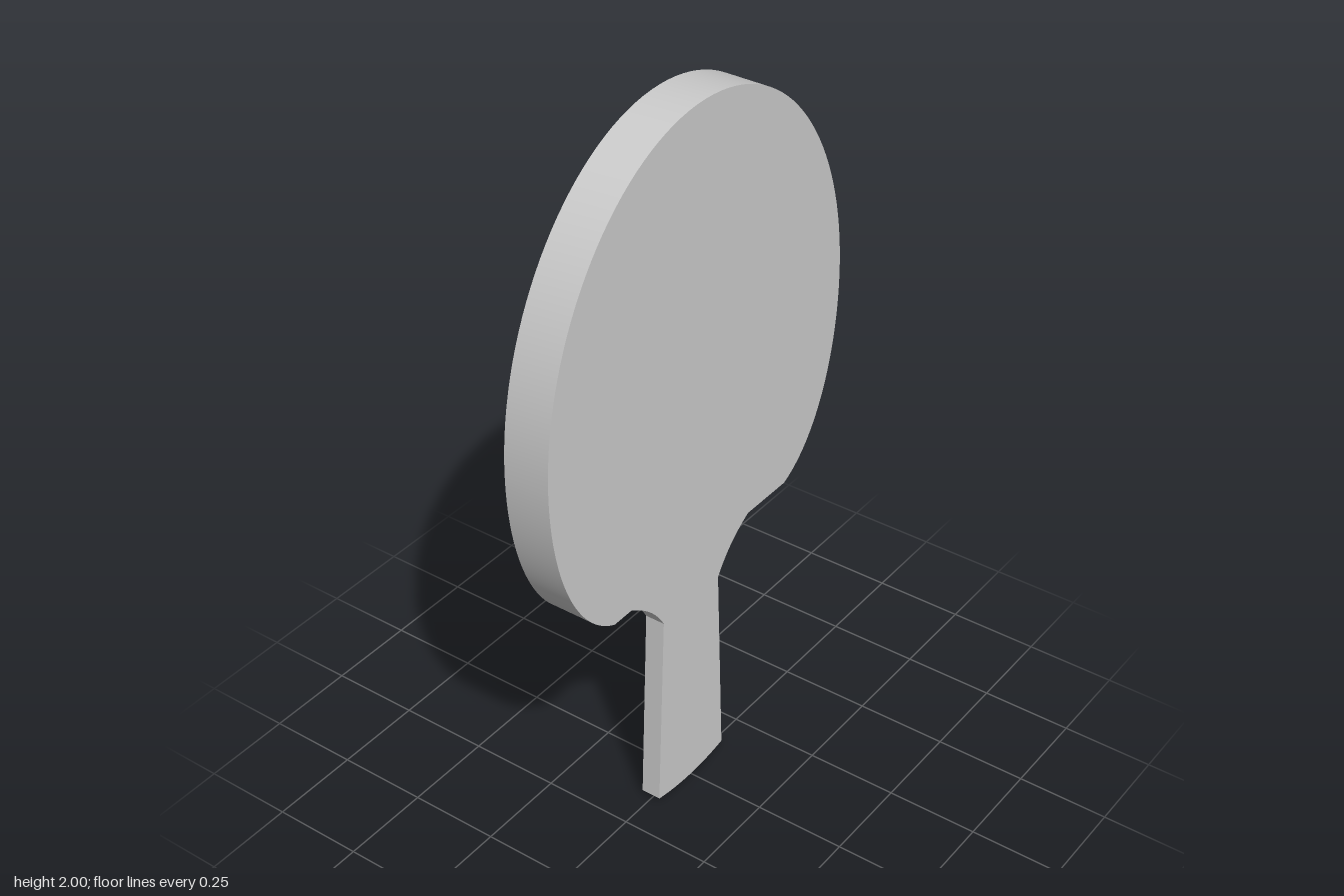
import * as THREE from 'three';
import { toCreasedNormals } from 'three/addons/utils/BufferGeometryUtils.js';

const material = new THREE.MeshStandardMaterial({ color: 0xcccccc });

// Extrude an outline, centred on z = 0, with smooth rims and sharp edges
function slab(name, shape, depth) {
  const geometry = new THREE.ExtrudeGeometry(shape, { depth, bevelEnabled: false, curveSegments: 32 });
  geometry.translate(0, 0, -depth / 2);
  const mesh = new THREE.Mesh(toCreasedNormals(geometry, 0.4), material);
  mesh.name = name;
  return mesh;
}

export function createModel() {
  const group = new THREE.Group();
  group.name = 'paddle';

  // Thick oval head, cut straight where it meets the handle
  const head = new THREE.Shape();
  head.moveTo(-0.36, 0.76);
  head.lineTo(0.36, 0.76);
  head.bezierCurveTo(0.5, 0.82, 0.587, 1.03, 0.587, 1.27);
  head.bezierCurveTo(0.587, 1.673, 0.324, 2, 0, 2);
  head.bezierCurveTo(-0.324, 2, -0.587, 1.673, -0.587, 1.27);
  head.bezierCurveTo(-0.587, 1.03, -0.5, 0.82, -0.36, 0.76);
  group.add(slab('head', head, 0.124));

  // Thin handle: flared shoulders, tapered grip and a bowed end
  const handle = new THREE.Shape();
  handle.moveTo(-0.36, 0.76);
  handle.quadraticCurveTo(-0.185, 0.71, -0.117, 0.588);
  handle.lineTo(-0.141, 0.015);
  handle.quadraticCurveTo(0, -0.015, 0.141, 0.015);
  handle.lineTo(0.117, 0.588);
  handle.quadraticCurveTo(0.185, 0.71, 0.36, 0.76);
  group.add(slab('handle', handle, 0.055));

  return group;
}
